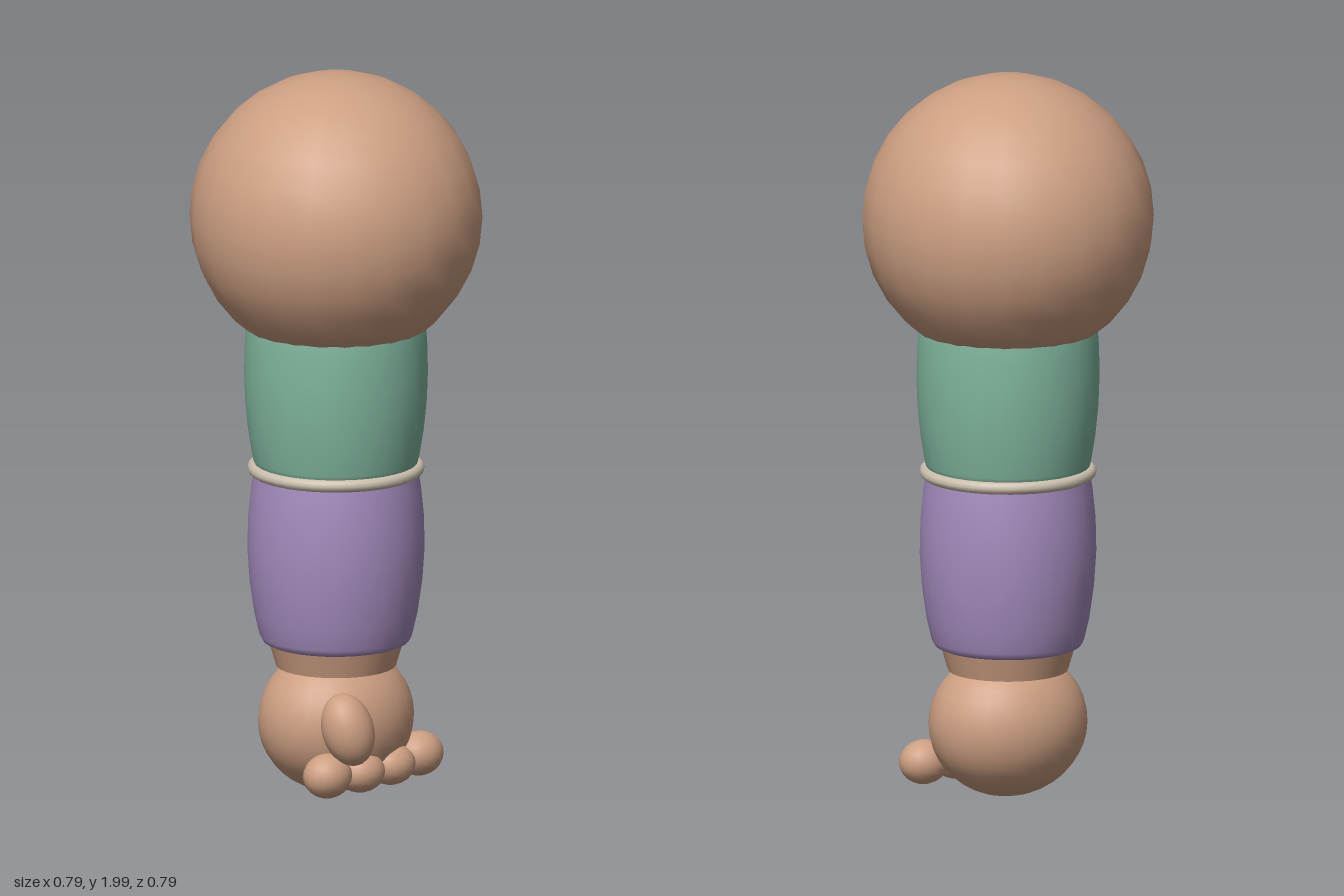
import * as THREE from 'three';

const material = (name, color) => {
  const m = new THREE.MeshStandardMaterial({ color });
  m.name = name;
  return m;
};

export function createModel() {
  const skin = material('skin', 0xcd9f82);
  const green = material('green cloth', 0x7fb49c);
  const purple = material('purple cloth', 0xa48bbd);
  const cream = material('cream band', 0xcbbfad);
  const group = new THREE.Group();

  const add = (name, geometry, mat, x = 0, y = 0, z = 0) => {
    const mesh = new THREE.Mesh(geometry, mat);
    mesh.name = name;
    mesh.position.set(x, y, z);
    group.add(mesh);
    return mesh;
  };
  const ball = (name, [x, y, z], [rx, ry, rz], w = 22, h = 16) => {
    const mesh = add(name, new THREE.SphereGeometry(1, w, h), skin, x, y, z);
    mesh.scale.set(rx, ry, rz);
    return mesh;
  };
  // Smooth turned sleeve, with a separate flat underside for a crisp rim
  const sleeve = (name, mat, profile) => {
    const points = profile.map(([r, y]) => new THREE.Vector2(r, y));
    add(name, new THREE.LatheGeometry(points, 32), mat);
    const base = add(name + 'Underside', new THREE.CircleGeometry(profile[0][0], 32), mat, 0, profile[0][1]);
    base.rotation.x = Math.PI / 2;
  };

  // Big round shoulder
  ball('shoulder', [0, 1.605, 0], [0.397, 0.395, 0.397]);

  // Upper and lower sleeves
  sleeve('upperSleeve', green, [
    [0.205, 0.9], [0.219, 0.912], [0.225, 0.93], [0.238, 1.01], [0.246, 1.09],
    [0.249, 1.17], [0.247, 1.25], [0.241, 1.33], [0.225, 1.4],
  ]);
  sleeve('lowerSleeve', purple, [
    [0.188, 0.42], [0.199, 0.425], [0.207, 0.44], [0.221, 0.5], [0.234, 0.59],
    [0.24, 0.68], [0.238, 0.77], [0.23, 0.85], [0.222, 0.9],
  ]);

  // Elbow band
  const band = add('elbowBand', new THREE.TorusGeometry(0.223, 0.017, 10, 40), cream, 0, 0.904, 0);
  band.rotation.x = Math.PI / 2;

  // Wrist and palm
  add('wrist', new THREE.CylinderGeometry(0.188, 0.163, 0.085, 28), skin, 0, 0.397, 0);
  ball('palm', [0, 0.208, 0], [0.227, 0.202, 0.197], 28, 20);

  // Curled fingers and thumb
  [-0.18, -0.06, 0.06, 0.18].forEach((x, i) => {
    const inner = i === 1 || i === 2;
    ball('finger' + (i + 1), [x, inner ? 0.09 : 0.098, inner ? 0.148 : 0.139],
      [0.071, inner ? 0.056 : 0.061, 0.063], 18, 12);
  });
  const thumb = ball('thumb', [-0.143, 0.227, 0.18], [0.071, 0.101, 0.071], 18, 14);
  thumb.rotation.set(-0.25, 0, 0.14);

  return group;
}
